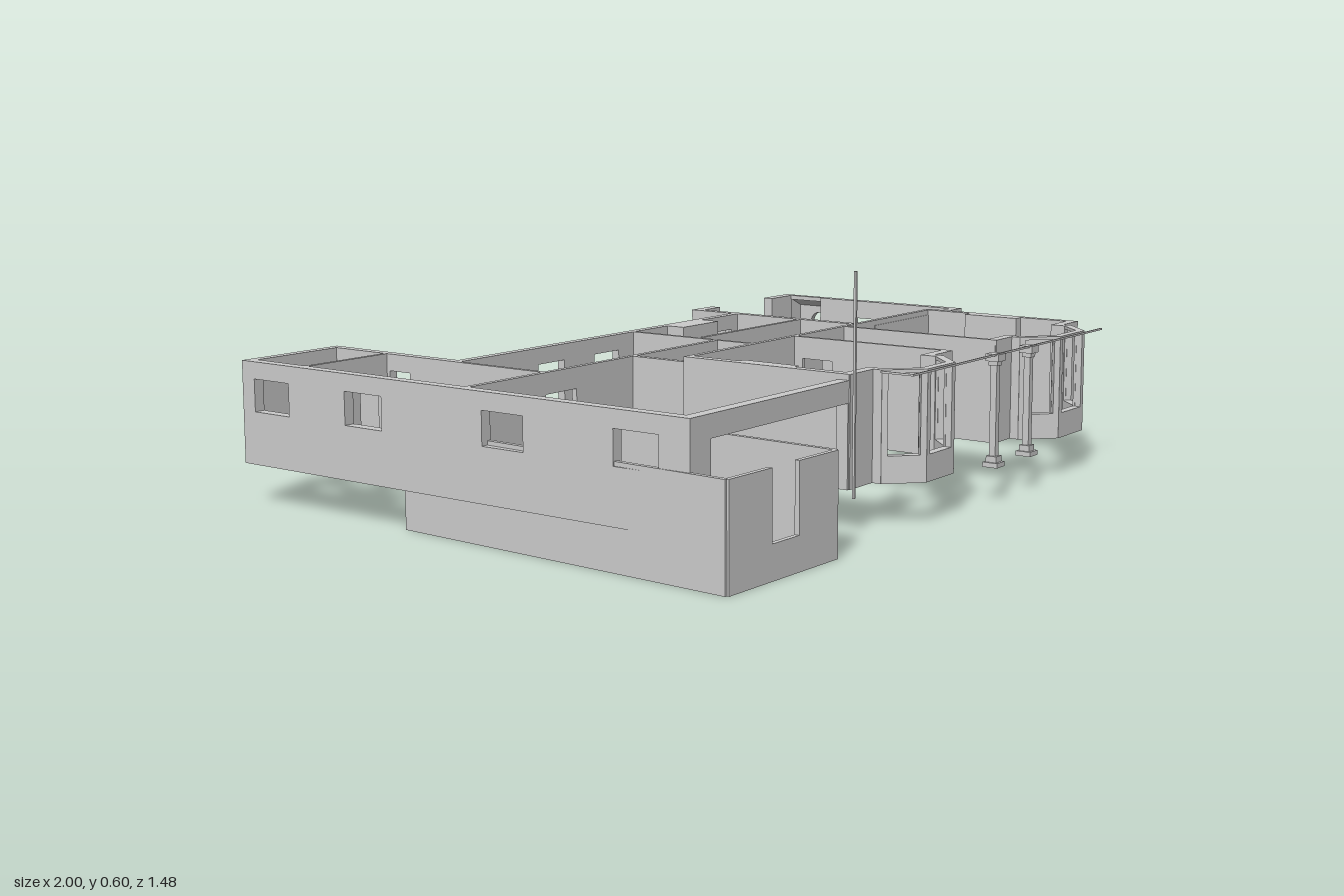
import * as THREE from 'three';

const mat = new THREE.MeshStandardMaterial({ color: 0xcccccc, flatShading: true, side: THREE.DoubleSide });
const FLOOR = 0.1, TOP = 0.352, FRONT_TOP = 0.366;

function box(parent, name, x0, x1, y0, y1, z0, z1) {
  const m = new THREE.Mesh(new THREE.BoxGeometry(x1 - x0, y1 - y0, z1 - z0), mat);
  m.position.set((x0 + x1) / 2, (y0 + y1) / 2, (z0 + z1) / 2);
  m.name = name;
  parent.add(m);
  return m;
}

// Straight wall between two plan points; openings are [start, end, bottom, top] along its length
function wall(parent, name, [x0, z0], [x1, z1], t, y0, y1, openings = []) {
  const g = new THREE.Group();
  g.name = name;
  const len = Math.hypot(x1 - x0, z1 - z0);
  const piece = (a, b, lo, hi) => {
    if (b - a > 0.001 && hi - lo > 0.001) box(g, name + 'Piece', a, b, lo, hi, -t / 2, t / 2);
  };
  let at = 0;
  for (const [a, b, lo, hi] of openings) {
    piece(at, a, y0, y1);
    piece(a, b, y0, lo);
    piece(a, b, hi, y1);
    at = b;
  }
  piece(at, len, y0, y1);
  g.position.set(x0, 0, z0);
  g.rotation.y = Math.atan2(z0 - z1, x1 - x0);
  parent.add(g);
}

// Walls along x or along z, with openings given in plan coordinates
const shift = (list, o) => list.map(([a, b, lo, hi]) => [a - o, b - o, lo, hi]);
const wallX = (p, name, z, x0, x1, t, top, open = []) =>
  wall(p, name, [x0, z], [x1, z], t, FLOOR, top, shift(open, x0));
const wallZ = (p, name, x, z0, z1, t, top, open = []) =>
  wall(p, name, [x, z0], [x, z1], t, FLOOR, top, shift(open, z0));

// Chain of short walls around a bay; framed bays keep posts and a head rail
function bay(parent, name, pts, t, top, framed) {
  const g = new THREE.Group();
  g.name = name;
  for (let i = 0; i < pts.length - 1; i++) {
    const a = new THREE.Vector2(...pts[i]), b = new THREE.Vector2(...pts[i + 1]);
    const d = b.clone().sub(a).normalize().multiplyScalar(t * 0.2);
    a.sub(d);
    b.add(d);
    const len = a.distanceTo(b);
    const open = framed && len > 0.05 ? [[0.015, len - 0.015, 0.165, 0.358]] : [];
    wall(g, name + 'Side', a.toArray(), b.toArray(), t, FLOOR, top, open);
  }
  parent.add(g);
}

function extrude(parent, name, shape, depth) {
  const m = new THREE.Mesh(new THREE.ExtrudeGeometry(shape, { depth, bevelEnabled: false, curveSegments: 16 }), mat);
  m.name = name;
  parent.add(m);
  return m;
}

export function createModel() {
  const root = new THREE.Group();
  root.name = 'houseWalls';
  const group = (name) => {
    const g = new THREE.Group();
    g.name = name;
    root.add(g);
    return g;
  };

  // Skewed basement with a notched front wall
  const base = group('basement');
  const c = [[-0.957, -0.228], [-0.575, -0.212], [-0.61, 0.715], [-0.993, 0.703]];
  const notch = [0.145, 0.24, 0.08, 0.24];
  ['basementBack', 'basementRight', 'basementFront', 'basementLeft'].forEach((n, i) => {
    if (i === 2) wall(base, n, c[3], c[2], 0.012, 0, 0.24, [notch]);
    else wall(base, n, c[i], c[(i + 1) % 4], 0.012, 0, 0.24);
  });

  // Left wing and carport
  const wing = group('leftWing');
  wallZ(wing, 'wingOuterWall', -0.977, -0.742, 0.61, 0.028, TOP,
    [-0.64, -0.33, 0.1, 0.47].map((z) => [z - 0.06, z + 0.06, 0.23, 0.31]));
  wallX(wing, 'wingBackWall', -0.73, -0.965, -0.685, 0.024, TOP);
  wallZ(wing, 'wingInnerWall', -0.697, -0.72, -0.3, 0.024, TOP, [[-0.53, -0.46, 0.175, 0.31]]);
  wallZ(wing, 'wingPartition', -0.704, -0.3, -0.03, 0.012, TOP, [[-0.14, -0.06, FLOOR, 0.3]]);
  wallX(wing, 'wingDivider', -0.545, -0.965, -0.705, 0.012, TOP, [[-0.8, -0.73, FLOOR, 0.3]]);
  wallX(wing, 'carportFront', 0.595, -0.965, -0.385, 0.03, TOP, [[-0.92, -0.4, FLOOR, 0.3]]);

  // Middle rooms
  const mid = group('middleRooms');
  wallX(mid, 'rearWall', -0.31, -0.685, 0.46, 0.022, TOP, [
    [-0.42, -0.32, 0.18, 0.31], [-0.2, -0.1, 0.18, 0.31], [-0.02, 0.09, 0.18, 0.31], [0.29, 0.41, 0.21, 0.31]]);
  box(mid, 'rearChimney', 0.112, 0.272, FLOOR, TOP, -0.3, -0.245);
  wallX(mid, 'corridorWall', -0.027, -0.965, -0.025, 0.014, TOP, [[-0.71, -0.6, FLOOR, 0.3], [-0.2, -0.12, FLOOR, 0.31]]);
  wallZ(mid, 'carportSideWall', -0.38, -0.03, 0.15, 0.016, TOP);
  wallZ(mid, 'crossWall', -0.032, -0.3, 0.147, 0.012, TOP, [[-0.13, -0.05, FLOOR, 0.3]]);
  wallX(mid, 'pantryWall', -0.088, -0.03, 0.44, 0.012, TOP, [[0.32, 0.4, FLOOR, 0.3]]);

  // Right room with rear bay and projecting nook
  const right = group('rightRoom');
  wallZ(right, 'rightRoomInnerWall', 0.45, -0.46, 0.15, 0.022, TOP);
  wallX(right, 'rightRoomFrontWall', 0.145, 0.45, 0.93, 0.024, TOP);
  wallZ(right, 'rightRoomOuterWall', 0.917, -0.32, 0.155, 0.026, TOP, [[-0.2, 0.04, FLOOR, 0.3]]);
  wallX(right, 'rearReturnLeft', -0.447, 0.44, 0.535, 0.03, TOP);
  wallX(right, 'rearReturnRight', -0.447, 0.805, 0.915, 0.03, TOP);
  bay(right, 'rearBay', [[0.522, -0.45], [0.522, -0.55], [0.578, -0.612], [0.757, -0.612], [0.82, -0.55], [0.82, -0.45]],
    0.026, 0.165, false);

  // Nook: sloped roof, two cheeks, outer wall with round window
  const cheek = new THREE.Shape([[0.91, FLOOR], [0.998, FLOOR], [0.998, 0.32], [0.93, TOP], [0.91, TOP]]
    .map((p) => new THREE.Vector2(...p)));
  for (const z of [-0.462, -0.306]) extrude(right, 'nookCheek', cheek, 0.016).position.z = z;
  const roof = new THREE.Shape([[0.91, 0.34], [0.93, 0.34], [0.998, 0.308], [0.998, 0.32], [0.93, TOP], [0.91, TOP]]
    .map((p) => new THREE.Vector2(...p)));
  extrude(right, 'nookRoof', roof, 0.172).position.z = -0.462;
  const outer = new THREE.Shape([[0.29, FLOOR], [0.462, FLOOR], [0.462, 0.32], [0.29, 0.32]]
    .map((p) => new THREE.Vector2(...p)));
  outer.holes.push(new THREE.Path().absarc(0.374, 0.265, 0.031, 0, Math.PI * 2, true));
  const nook = extrude(right, 'nookRoundWindowWall', outer, 0.018);
  nook.rotation.y = Math.PI / 2;
  nook.position.x = 0.982;

  // Front rooms and hall
  const front = group('frontRooms');
  wallX(front, 'frontRoomsBackWallLeft', 0.148, -0.395, 0.07, 0.014, FRONT_TOP, [[-0.2, -0.12, FLOOR, 0.31]]);
  wallX(front, 'frontRoomsBackWallRight', 0.148, 0.295, 0.76, 0.014, FRONT_TOP);
  wallZ(front, 'leftRoomOuterWall', -0.384, 0.15, 0.61, 0.024, FRONT_TOP);
  wallZ(front, 'rightRoomSideWall', 0.75, 0.15, 0.61, 0.022, FRONT_TOP);
  wallZ(front, 'hallLeftWall', 0.065, 0.15, 0.61, 0.012, FRONT_TOP, [[0.18, 0.27, FLOOR, 0.31]]);
  wallZ(front, 'hallRightWall', 0.3, 0.15, 0.61, 0.012, FRONT_TOP, [[0.18, 0.27, FLOOR, 0.31]]);
  box(front, 'leftFireplace', -0.38, -0.354, FLOOR, FRONT_TOP, 0.29, 0.445);
  box(front, 'rightFireplace', 0.712, 0.742, FLOOR, FRONT_TOP, 0.29, 0.45);

  // Hall end wall with arched doorway
  const arch = new THREE.Shape();
  arch.moveTo(0.07, FLOOR).lineTo(0.19, FLOOR).lineTo(0.19, 0.275);
  arch.absarc(0.225, 0.275, 0.035, Math.PI, 0, true);
  arch.lineTo(0.26, FLOOR).lineTo(0.295, FLOOR).lineTo(0.295, FRONT_TOP).lineTo(0.07, FRONT_TOP);
  extrude(front, 'hallArchWall', arch, 0.014).position.z = 0.141;

  // Front wall returns and the two framed bays
  for (const [x0, x1] of [[-0.395, -0.275], [-0.04, 0.07], [0.295, 0.4], [0.65, 0.76]])
    wallX(front, 'frontReturn', 0.6, x0, x1, 0.026, FRONT_TOP);
  for (const [x0, x1] of [[-0.287, -0.028], [0.388, 0.66]])
    bay(front, 'frontBay', [[x0, 0.6], [x0, 0.632], [x0 + 0.07, 0.702], [x1 - 0.07, 0.702], [x1, 0.632], [x1, 0.6]],
      0.022, FRONT_TOP, true);

  // Porch columns, thin eaves rail and tall pole
  const porch = group('porch');
  for (const x of [0.1, 0.274]) {
    const z = 0.715;
    const slab = (n, w, y0, y1) => box(porch, n, x - w / 2, x + w / 2, y0, y1, z - w / 2, z + w / 2);
    slab('columnFoot', 0.04, 0.085, 0.097);
    slab('columnPlinth', 0.028, 0.097, 0.112);
    slab('columnShaft', 0.017, 0.112, 0.335);
    slab('columnNeck', 0.024, 0.335, 0.346);
    slab('columnCapital', 0.036, 0.346, 0.364);
  }
  box(porch, 'eavesRail', -0.31, 0.67, 0.361, 0.366, 0.724, 0.727);
  box(porch, 'eavesReturn', -0.311, -0.308, 0.361, 0.366, 0.64, 0.727);
  box(porch, 'pole', -0.399, -0.393, 0.082, 0.6, 0.622, 0.628);

  return root;
}
